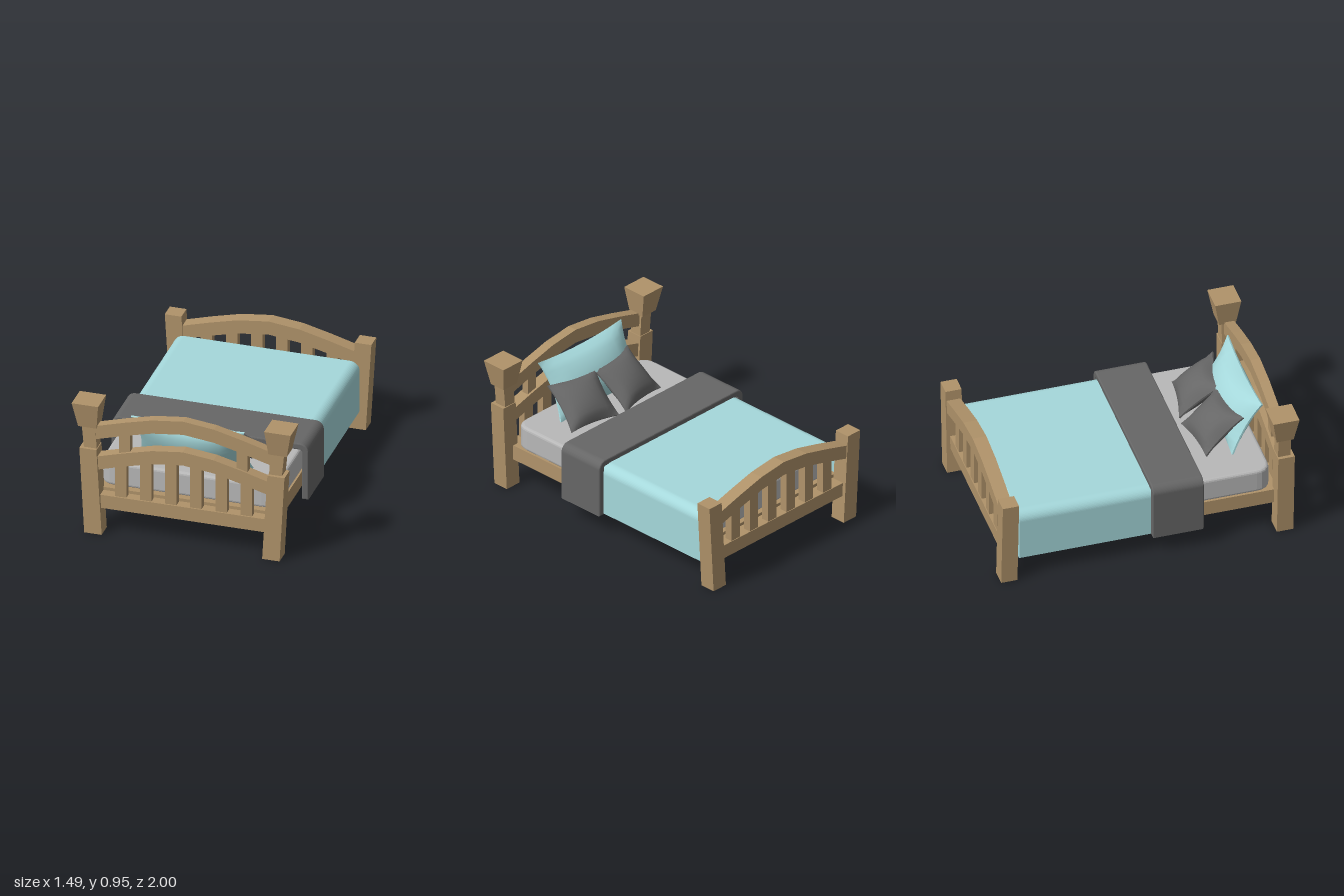
import * as THREE from 'three';

const mat = (color, flat = false) => new THREE.MeshStandardMaterial({ color, flatShading: flat });

export function createModel() {
  const bed = new THREE.Group();
  bed.name = 'bed';
  const wood = mat(0xb0936a, true);
  const teal = mat(0xa5d8db);
  const dark = mat(0x666666);
  const white = mat(0xb8b8b8);

  const add = (name, geometry, material, parent = bed) => {
    const mesh = new THREE.Mesh(geometry, material);
    mesh.name = name;
    parent.add(mesh);
    return mesh;
  };

  // Box between two extents
  const block = (x0, x1, y0, y1, z0, z1) =>
    new THREE.BoxGeometry(x1 - x0, y1 - y0, z1 - z0)
      .translate((x0 + x1) / 2, (y0 + y1) / 2, (z0 + z1) / 2);

  // Tapered, leaning block: bottom and top are [x0, x1, z0, z1]; side mirrors in x
  const taper = (y0, y1, bottom, top, side) => {
    const g = new THREE.BoxGeometry(1, 1, 1);
    const p = g.attributes.position;
    for (let i = 0; i < p.count; i++) {
      const e = p.getY(i) > 0 ? top : bottom;
      const high = p.getX(i) * side > 0;
      p.setXYZ(i, side * (high ? e[1] : e[0]), p.getY(i) > 0 ? y1 : y0, p.getZ(i) > 0 ? e[3] : e[2]);
    }
    g.computeVertexNormals();
    return g;
  };

  // Arched rail running across the bed
  const half = [[0, 0.69], [0.21, 0.665], [0.4, 0.617], [0.6, 0.56]];
  const curve = [...half.slice(1).reverse().map(([x, y]) => [-x, y]), ...half];
  const arch = (lift, z0, z1) => {
    const shape = new THREE.Shape();
    curve.forEach(([x, y], i) => (i ? shape.lineTo(x, y + lift) : shape.moveTo(x, y + lift)));
    [...curve].reverse().forEach(([x, y]) => shape.lineTo(x, y + lift - 0.097));
    shape.closePath();
    return new THREE.ExtrudeGeometry(shape, { depth: z1 - z0, bevelEnabled: false }).translate(0, 0, z0);
  };

  const slats = (parent, z0, z1) => {
    for (let i = 0; i < 6; i++) {
      const x = (i - 2.5) * 0.171;
      const top = Math.abs(x) > 0.35 ? 0.55 : 0.6;
      add('slat', block(x - 0.039, x + 0.039, 0.25, top, z0, z1), wood, parent);
    }
  };

  // Headboard
  const head = new THREE.Group();
  head.name = 'headboard';
  bed.add(head);
  for (const s of [1, -1]) {
    add('headPost', taper(0, 0.62, [0.546, 0.665, 0.87, 0.982], [0.582, 0.698, 0.87, 0.982], s), wood, head);
    add('headPostNeck', taper(0.6, 0.79, [0.585, 0.672, 0.875, 0.96], [0.598, 0.69, 0.875, 0.96], s), wood, head);
    add('headPostCap', taper(0.772, 0.95, [0.585, 0.71, 0.855, 0.97], [0.565, 0.745, 0.823, 1], s), wood, head);
    const x = s * 0.4;
    add('upperUpright', block(x - 0.037, x + 0.037, 0.56, 0.79, 0.9, 0.95), wood, head);
  }
  add('lowerArch', arch(0, 0.885, 0.965), wood, head);
  add('upperArch', arch(0.222, 0.89, 0.957), wood, head);
  add('headBottomRail', block(-0.59, 0.59, 0.187, 0.283, 0.88, 0.96), wood, head);
  slats(head, 0.9, 0.95);

  // Footboard
  const foot = new THREE.Group();
  foot.name = 'footboard';
  bed.add(foot);
  for (const s of [1, -1])
    add('footPost', taper(0, 0.635, [0.55, 0.665, -1, -0.89], [0.59, 0.703, -1, -0.89], s), wood, foot);
  add('footArch', arch(0, -0.993, -0.9), wood, foot);
  add('footBottomRail', block(-0.59, 0.59, 0.187, 0.283, -0.975, -0.875), wood, foot);
  slats(foot, -0.97, -0.915);

  // Frame under the mattress
  add('bedBase', block(-0.605, 0.605, 0.2, 0.305, -0.88, 0.89), wood);

  // Mattress: rounded plan with softened top and bottom edges
  const plan = new THREE.Shape();
  const w = 0.58, d = 0.835, r = 0.08;
  plan.moveTo(-w + r, -d).lineTo(w - r, -d).quadraticCurveTo(w, -d, w, -d + r);
  plan.lineTo(w, d - r).quadraticCurveTo(w, d, w - r, d);
  plan.lineTo(-w + r, d).quadraticCurveTo(-w, d, -w, d - r);
  plan.lineTo(-w, -d + r).quadraticCurveTo(-w, -d, -w + r, -d);
  const mattress = new THREE.ExtrudeGeometry(plan, {
    depth: 0.13, bevelThickness: 0.02, bevelSize: 0.02, bevelSegments: 3, curveSegments: 5,
  });
  add('mattress', mattress.rotateX(-Math.PI / 2).translate(0, 0.325, 0), white);

  // Cover draped over the bed, hanging down both sides
  const drape = (x, y0, y1, t, z0, z1, radius) => {
    const b = 0.008;
    const X = x - b, T = y1 - b, B = y0 + b, n = t - 2 * b, q = radius - n;
    const s = new THREE.Shape();
    s.moveTo(X, B).lineTo(X, T - radius).absarc(X - radius, T - radius, radius, 0, Math.PI / 2, false);
    s.lineTo(-X + radius, T).absarc(-X + radius, T - radius, radius, Math.PI / 2, Math.PI, false);
    s.lineTo(-X, B).lineTo(-X + n, B).lineTo(-X + n, T - radius);
    s.absarc(-X + radius, T - radius, q, Math.PI, Math.PI / 2, true);
    s.lineTo(X - radius, T - n).absarc(X - radius, T - radius, q, Math.PI / 2, 0, true);
    s.lineTo(X - n, B).closePath();
    return new THREE.ExtrudeGeometry(s, {
      depth: z1 - z0 - 2 * b, bevelThickness: b, bevelSize: b, bevelSegments: 2, curveSegments: 6,
    }).translate(0, 0, z0 + b);
  };
  add('blanket', drape(0.632, 0.15, 0.51, 0.03, -0.872, 0.05, 0.06), teal);
  add('throw', drape(0.67, 0.14, 0.545, 0.045, 0.027, 0.375, 0.05), dark);

  // Pillow: plump middle, thin rim, sides pulled in between pointed corners
  const pillow = (name, hw, hh, ht, pos, lean, yaw, material) => {
    const g = new THREE.BoxGeometry(2, 2, 2, 10, 10, 1);
    const p = g.attributes.position;
    for (let i = 0; i < p.count; i++) {
      const u = p.getX(i), v = p.getY(i);
      const puff = Math.pow(Math.max(0, (1 - u * u) * (1 - v * v)), 0.6);
      p.setXYZ(i, u * hw * (1 - 0.09 * (1 - v * v)), v * hh * (1 - 0.09 * (1 - u * u)),
        p.getZ(i) * (0.006 + ht * puff));
    }
    g.computeVertexNormals();
    const mesh = add(name, g, material);
    mesh.position.set(...pos);
    mesh.rotation.set(lean, yaw, 0, 'YXZ');
  };
  pillow('largePillow', 0.385, 0.21, 0.095, [0, 0.655, 0.755], 0.5, 0, teal);
  pillow('smallPillowRight', 0.19, 0.175, 0.075, [-0.16, 0.6, 0.585], 0.87, 0.15, dark);
  pillow('smallPillowLeft', 0.19, 0.175, 0.075, [0.235, 0.6, 0.595], 0.87, -0.17, dark);

  return bed;
}
